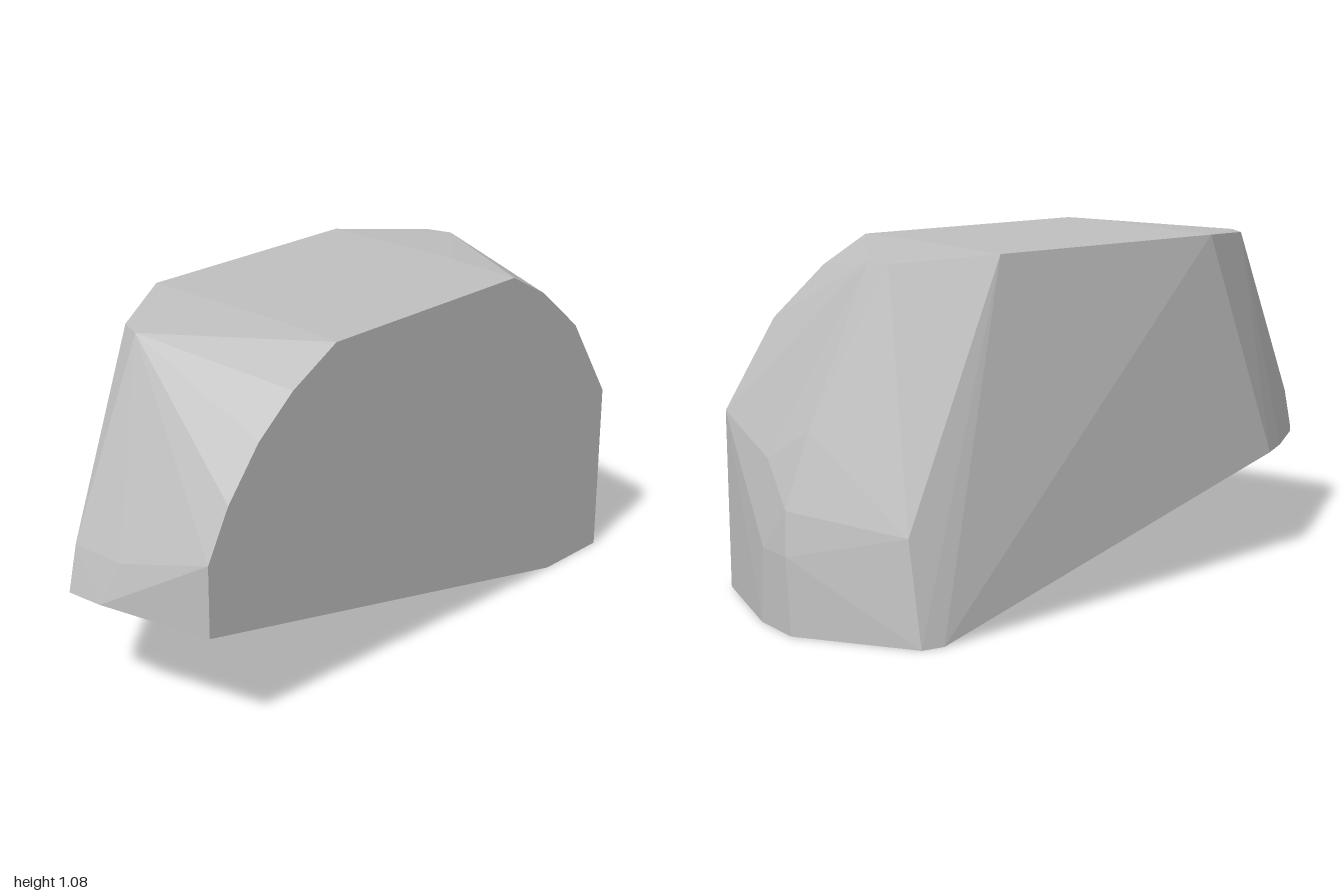
import * as THREE from 'three';
import { ConvexGeometry } from 'three/addons/geometries/ConvexGeometry.js';

const points = (list) => list.map(([x, y, z]) => new THREE.Vector3(x, y, z));

export function createModel() {
  const stone = new THREE.MeshStandardMaterial({ color: 0xbfbfbf });

  // flat cut side: arched profile (y, z) at x = 0.44
  const cutSide = [
    [0.34, 0.92], [0.56, 0.92], [0.71, 0.84], [0.86, 0.72], [0.97, 0.585], [1.065, 0.41],
    [1.065, -0.395], [0.98, -0.55], [0.83, -0.73], [0.56, -0.905], [0, -0.905], [0, -0.64],
  ].map(([y, z]) => [0.44, y, z]);

  // top plateau with bevelled ends
  const top = [
    [-0.3, 1.075, 0.4], [-0.3, 1.075, -0.4], [0.2, 1.073, 0.4], [0.2, 1.073, -0.4],
    [-0.14, 1.05, 0.67], [-0.06, 1.05, 0.705], [-0.13, 1.05, -0.67], [-0.05, 1.05, -0.69],
  ];

  // bulging front end, down to the raised lower edge
  const front = [
    [-0.31, 0.35, 0.66], [-0.23, 0.345, 0.78], [-0.1, 0.345, 0.95], [-0.05, 0.345, 1], [0.08, 0.35, 1],
    [-0.06, 0.48, 0.96], [0.13, 0.48, 0.96], [-0.06, 0.58, 0.915],
  ];

  // bulging back end, down to the ground
  const back = [
    [-0.1, 0, -1], [0.07, 0, -1], [-0.08, 0.23, -1], [0.05, 0.23, -1],
    [-0.06, 0.36, -0.985], [0.1, 0.48, -0.95], [-0.06, 0.58, -0.905],
    [-0.43, 0, -0.77], [-0.44, 0, -0.7], [-0.37, 0.31, -0.77], [0.14, 0, -0.54],
  ];

  const block = new THREE.Mesh(
    new ConvexGeometry(points([...cutSide, ...top, ...front, ...back])), stone);
  block.name = 'facetedBlock';

  const group = new THREE.Group();
  group.name = 'cutStone';
  group.add(block);
  return group;
}
